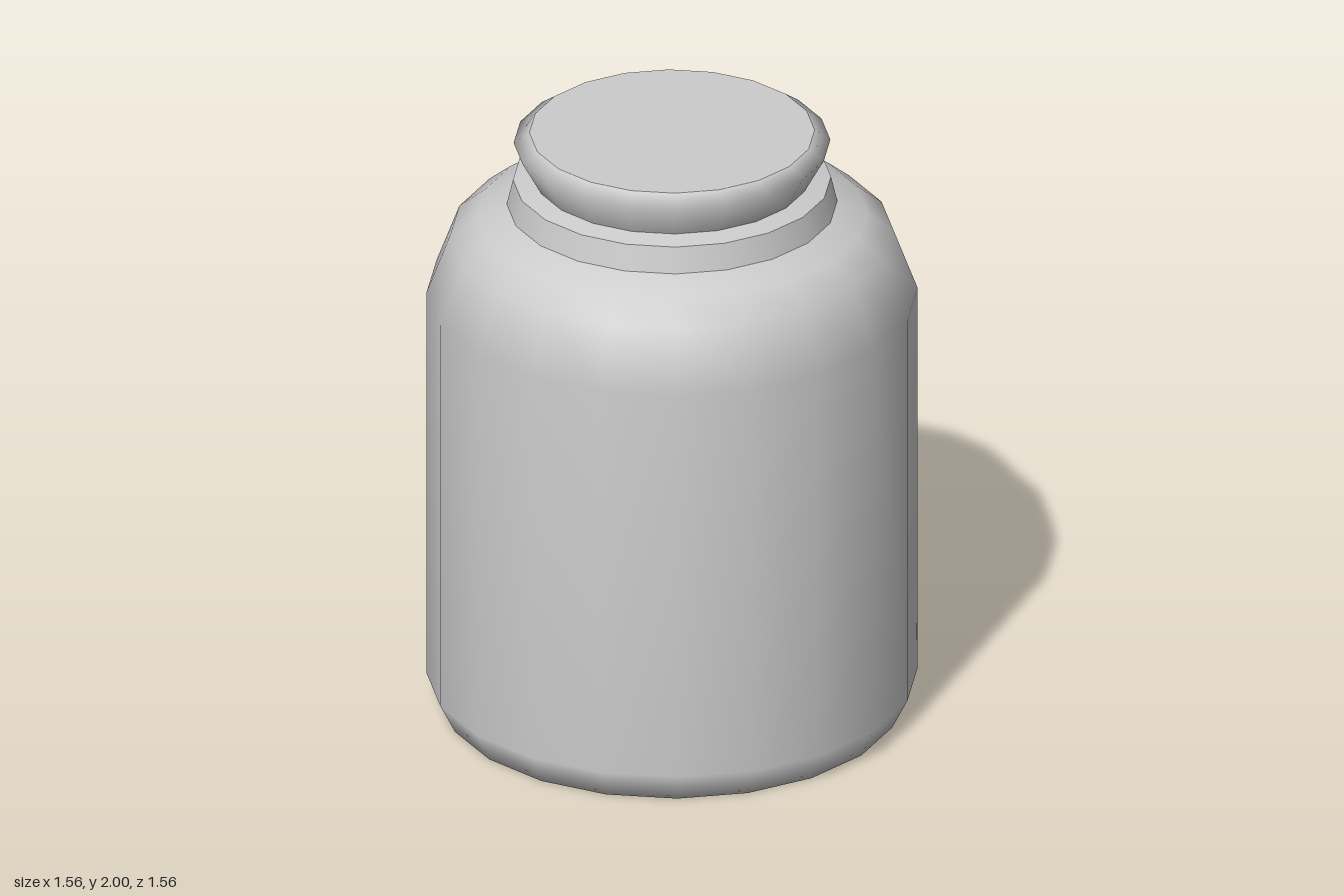
import * as THREE from 'three';

const SIDES = 20;
const material = new THREE.MeshStandardMaterial({ color: 0xcccccc });

// Smooth surface of revolution; separate sections leave crisp edges between them
function turned(name, profile) {
  const points = profile.map(([r, y]) => new THREE.Vector2(r, y));
  const mesh = new THREE.Mesh(new THREE.LatheGeometry(points, SIDES), material);
  mesh.name = name;
  return mesh;
}

export function createModel() {
  const jar = new THREE.Group();
  jar.name = 'jar';

  // Body: dimpled base, bevelled foot, straight wall and rounded shoulder
  jar.add(turned('body', [
    [0, 0.2], [0.18, 0.165], [0.35, 0.01], [0.5, 0], [0.73, 0],
    [0.78, 0.1], [0.78, 1.44], [0.705, 1.64], [0.62, 1.71], [0.525, 1.75],
  ]));

  // Neck: short collar with a flat rim
  const neck = new THREE.Group();
  neck.name = 'neck';
  neck.add(
    turned('collar', [[0.525, 1.75], [0.505, 1.835]]),
    turned('rim', [[0.505, 1.835], [0.44, 1.85]]),
  );
  jar.add(neck);

  // Stopper: flared side, bevelled edge and flat top
  const stopper = new THREE.Group();
  stopper.name = 'stopper';
  stopper.add(
    turned('stopperSide', [[0.44, 1.85], [0.503, 1.965], [0.453, 2]]),
    turned('stopperTop', [[0.453, 2], [0, 2]]),
  );
  jar.add(stopper);

  return jar;
}
